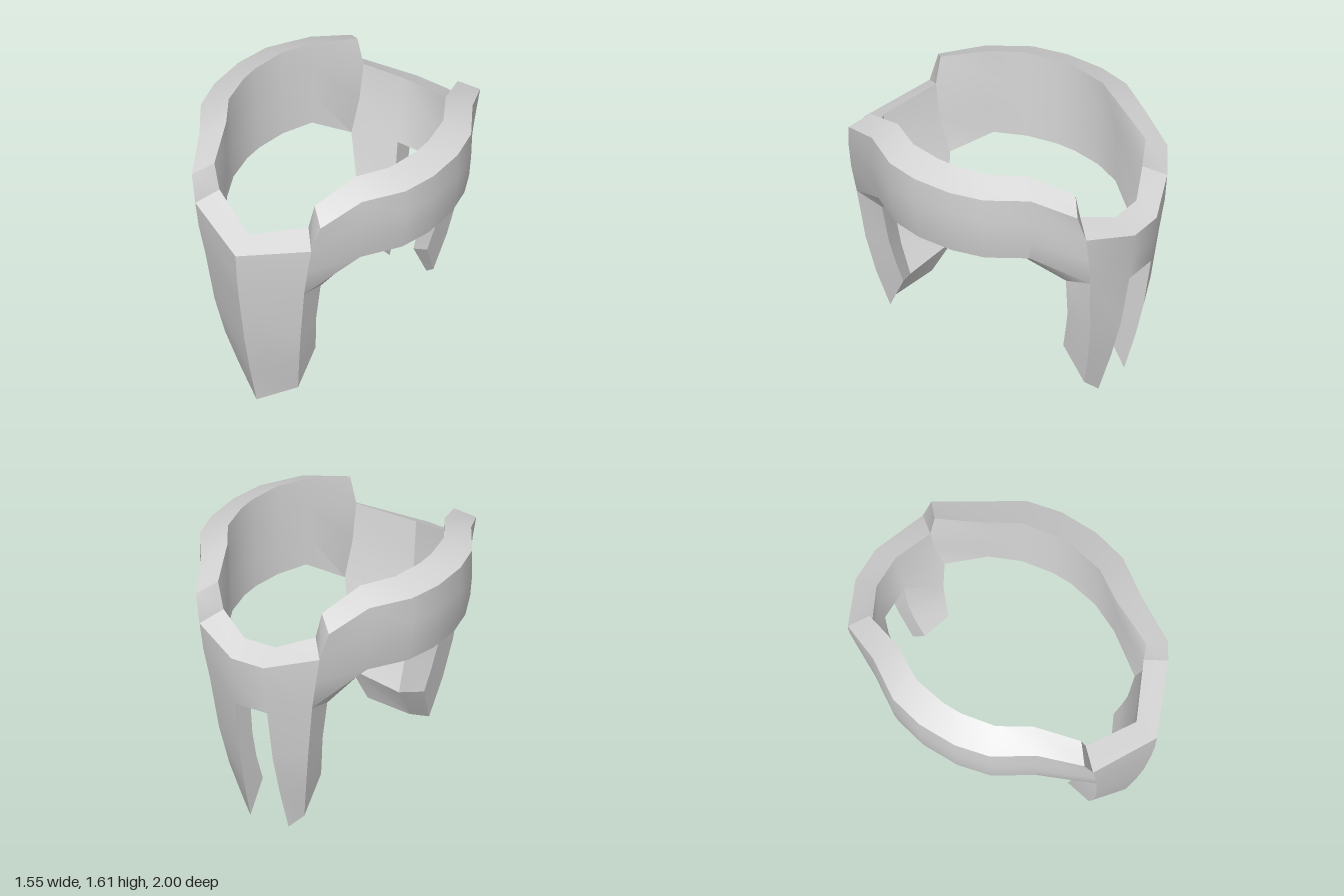
import * as THREE from 'three';
import { toCreasedNormals, mergeGeometries } from 'three/addons/utils/BufferGeometryUtils.js';

const mirror = grid => grid.map(row => row.map(([x, y, z]) => [-x, y, z]).reverse());
const toBack = ([x, y, z]) => [x, y, -z - 0.045];
const columns = (...cols) => cols[0].map((_, i) => cols.map(c => c[i]));

// Closed curved block between an outer and an inner grid (rows run downwards,
// columns run left to right as seen from outside).
function block(outer, inner) {
  const pos = [];
  const quad = (a, b, c, d) => pos.push(...a, ...b, ...c, ...a, ...c, ...d);
  const R = outer.length - 1, C = outer[0].length - 1;
  for (let r = 0; r < R; r++) {
    for (let c = 0; c < C; c++) {
      quad(outer[r][c], outer[r + 1][c], outer[r + 1][c + 1], outer[r][c + 1]);
      quad(inner[r][c + 1], inner[r + 1][c + 1], inner[r + 1][c], inner[r][c]);
    }
    quad(inner[r][0], inner[r + 1][0], outer[r + 1][0], outer[r][0]);
    quad(outer[r][C], outer[r + 1][C], inner[r + 1][C], inner[r][C]);
  }
  for (let c = 0; c < C; c++) {
    quad(inner[0][c], outer[0][c], outer[0][c + 1], inner[0][c + 1]);
    quad(outer[R][c], inner[R][c], inner[R][c + 1], outer[R][c + 1]);
  }
  const g = new THREE.BufferGeometry();
  g.setAttribute('position', new THREE.Float32BufferAttribute(pos, 3));
  return g;
}

export function createModel() {
  const group = new THREE.Group();
  const lightGrey = new THREE.MeshStandardMaterial({ color: 0xd5d5d5 });
  lightGrey.name = 'lightGrey';
  const add = (name, ...geos) => {
    const mesh = new THREE.Mesh(toCreasedNormals(mergeGeometries(geos), 0.55), lightGrey);
    mesh.name = name;
    group.add(mesh);
  };

  // Corner edges, shared by the plates and the side bands
  const cornerOut = [[0.41, 1.28, 0.82], [0.385, 1.12, 0.82], [0.35, 0.935, 0.805],
    [0.305, 0.6, 0.775], [0.262, 0.35, 0.73], [0.21, 0.105, 0.665]];
  const cornerIn = [[0.315, 1.35, 0.71], [0.33, 1.1, 0.69], [0.345, 0.885, 0.63],
    [0.3, 0.62, 0.61], [0.277, 0.48, 0.58], [0.25, 0.34, 0.545]];

  // Front plate with a ridge down the middle
  const ridgeOut = [[0, 1.18, 1], [0, 1, 0.985], [0, 0.82, 0.96],
    [0, 0.52, 0.91], [0, 0.27, 0.855], [0, 0, 0.785]];
  const ridgeIn = [[0, 1.25, 0.86], [0, 1.03, 0.84], [0, 0.82, 0.815],
    [0, 0.59, 0.78], [0, 0.39, 0.735], [0, 0.2, 0.67]];
  const flip = col => col.map(([x, y, z]) => [-x, y, z]);
  add('frontPlate', block(columns(flip(cornerOut), ridgeOut, cornerOut),
    columns(flip(cornerIn), ridgeIn, cornerIn)));

  // Back plate: a solid upper part and two legs beside the slot
  const backOut = cornerOut.map(toBack), backIn = cornerIn.map(toBack);
  const slotOut = [[0.11, 1.2, -1], [0.11, 1.04, -0.985], [0.11, 0.88, -0.96],
    [0.115, 0.55, -0.905], [0.122, 0.3, -0.84], [0.13, 0.03, -0.755]];
  const slotIn = [[0.105, 1.27, -0.86], [0.105, 1.05, -0.84], [0.105, 0.84, -0.8],
    [0.105, 0.6, -0.775], [0.105, 0.42, -0.73], [0.105, 0.24, -0.66]];
  const legOut = columns(backOut, slotOut).slice(2);
  const legIn = columns(backIn, slotIn).slice(2);
  add('backPlate',
    block(columns(backOut, slotOut, flip(slotOut), flip(backOut)).slice(0, 3),
      columns(backIn, slotIn, flip(slotIn), flip(backIn)).slice(0, 3)),
    block(legOut, legIn),
    block(mirror(legOut), mirror(legIn)));

  // Side bands: arched walls running from the front corner to the back corner
  const outY = [1.54, 1.38, 1.24, 1.11], outScale = [1, 1, 0.985, 0.95];
  const outStations = [[0.575, 0.54], [0.725, 0.31], [0.775, 0.1]]
    .map(([x, z]) => outY.map((y, i) => [x * outScale[i], y, z * outScale[i]]));
  const inStations = [[0.455, 0.44, 0.47, 0.41], [0.57, 0.25, 0.55, 0.23], [0.61, 0.04, 0.585, 0.04]]
    .map(([x0, z0, x1, z1]) => [0, 1 / 3, 2 / 3, 1].map(t =>
      [x0 + (x1 - x0) * t, 1.61 - 0.57 * t, z0 + (z1 - z0) * t]));
  const halfOut = [[[0.455, 1.45, 0.79], ...cornerOut.slice(0, 3)], ...outStations];
  const halfIn = [[[0.355, 1.52, 0.705], ...cornerIn.slice(0, 3)], ...inStations];
  const full = half => columns(...half, ...half.map(col => col.map(toBack)).reverse());
  const bandOut = full(halfOut), bandIn = full(halfIn);
  add('leftBand', block(bandOut, bandIn));
  add('rightBand', block(mirror(bandOut), mirror(bandIn)));

  return group;
}
